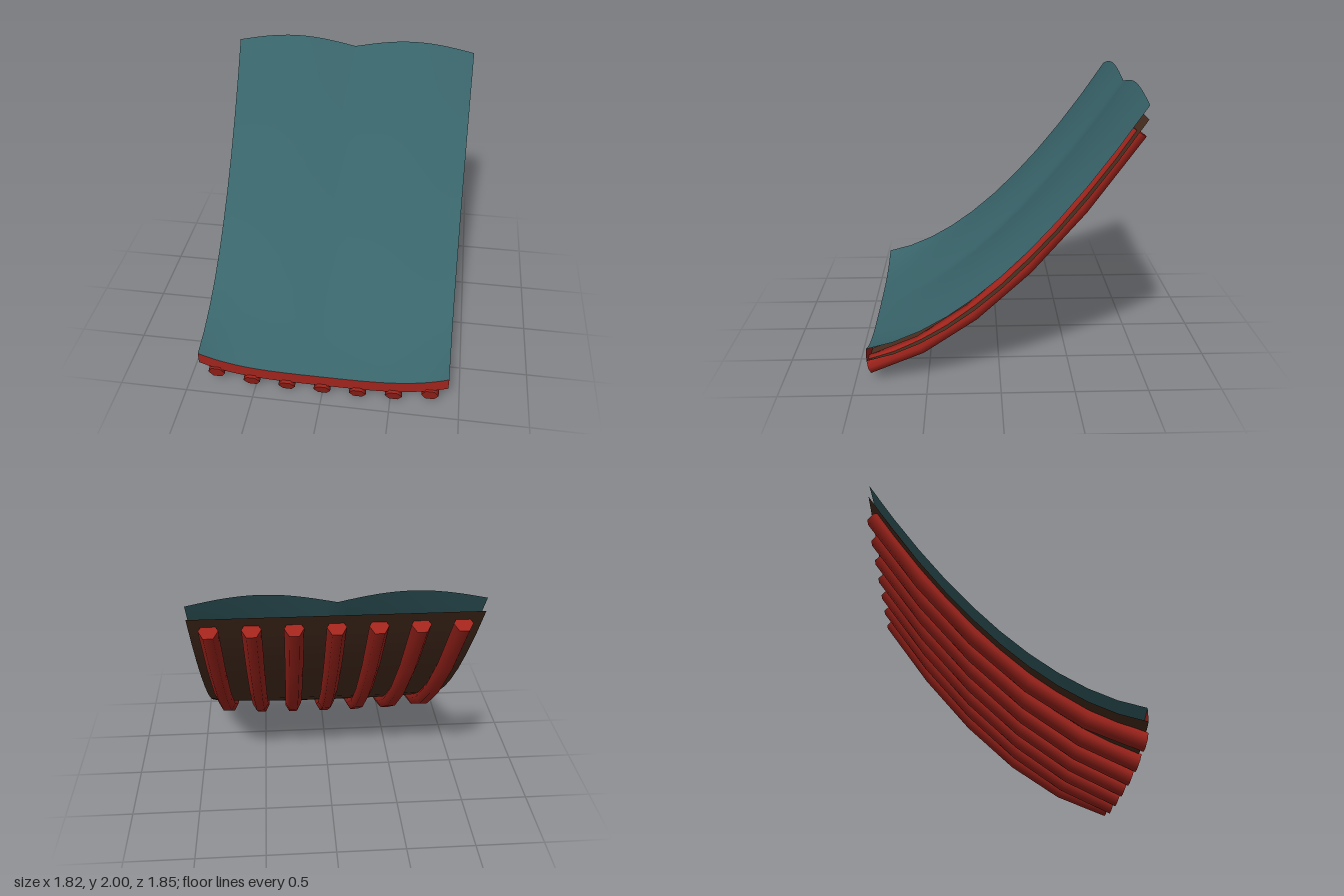
import * as THREE from 'three';

const HALF = 0.91, FRONT = 0.905, DEPTH = 1.82, GAP = 0.09;

// u runs from the low front eave (0) to the high back ridge (1)
const zAt = (u) => FRONT - DEPTH * u;
const slope = (u) => 0.19 + 0.72 * u + 1.03 * u * u;
const curl = (x, u) => 0.11 * Math.abs(x / HALF) ** 3.5 * Math.max(0, 1 - u) ** 3.5;
const hump = (x, u) => 0.063 * Math.abs(Math.sin(Math.PI * x / HALF)) * (1 - (1 - u) ** 2);
const underside = (x, u) => slope(u) + curl(x, u) - GAP;
const topside = (x, u) => slope(u) + curl(x, u) + hump(x, u);

const mat = (color, side = THREE.DoubleSide) => new THREE.MeshStandardMaterial({ color, side });

function mesh(name, geometry, material) {
  const m = new THREE.Mesh(geometry, material);
  m.name = name;
  return m;
}

// Grid bent over the roof's curve by a height rule
function sheet(height) {
  const g = new THREE.PlaneGeometry(2 * HALF, 1, 28, 10);
  const p = g.attributes.position;
  for (let i = 0; i < p.count; i++) {
    const x = p.getX(i), u = p.getY(i) + 0.5;
    p.setXYZ(i, x, height(x, u), zAt(u));
  }
  g.computeVertexNormals();
  return g;
}

// Path of a rafter hanging below the underside, evenly spaced in depth
class RafterPath extends THREE.Curve {
  constructor(x) { super(); this.x = x; }
  getPoint(t, target = new THREE.Vector3()) {
    const u = t * 0.981;
    return target.set(this.x, underside(this.x, u) - 0.047, zAt(u));
  }
  getPointAt(t, target) { return this.getPoint(t, target); }
  getTangentAt(t, target) { return this.getTangent(t, target); }
}

function rafter(x, material) {
  const group = new THREE.Group();
  group.name = 'rafter';
  const path = new RafterPath(x), r = 0.062;
  group.add(mesh('rafterBeam', new THREE.TubeGeometry(path, 5, r, 6, false), material));
  for (const t of [0, 1]) {
    const cap = mesh('rafterEnd', new THREE.CircleGeometry(r, 6), material);
    const out = path.getTangent(t).multiplyScalar(t ? 1 : -1);
    cap.quaternion.setFromUnitVectors(new THREE.Vector3(0, 0, 1), out);
    cap.position.copy(path.getPoint(t));
    group.add(cap);
  }
  return group;
}

export function createModel() {
  const model = new THREE.Group();
  model.name = 'curvedRoof';
  const red = mat(0xa0241c);

  // Roof covering with two swells, and the plain ceiling below it
  model.add(mesh('roofCovering', sheet(topside), mat(0x38646a)));
  model.add(mesh('roofUnderside', sheet(underside), mat(0x4a2f20)));

  // Fascia strip closing the front eave
  const g = new THREE.PlaneGeometry(2 * HALF, GAP, 28, 1);
  const p = g.attributes.position;
  for (let i = 0; i < p.count; i++) {
    const x = p.getX(i);
    p.setXYZ(i, x, underside(x, 0) + (p.getY(i) > 0 ? GAP : 0), FRONT);
  }
  g.computeVertexNormals();
  model.add(mesh('eaveFascia', g, red));

  // Seven six-sided rafters
  for (let i = -3; i <= 3; i++) model.add(rafter(i * 0.262, red));
  return model;
}
